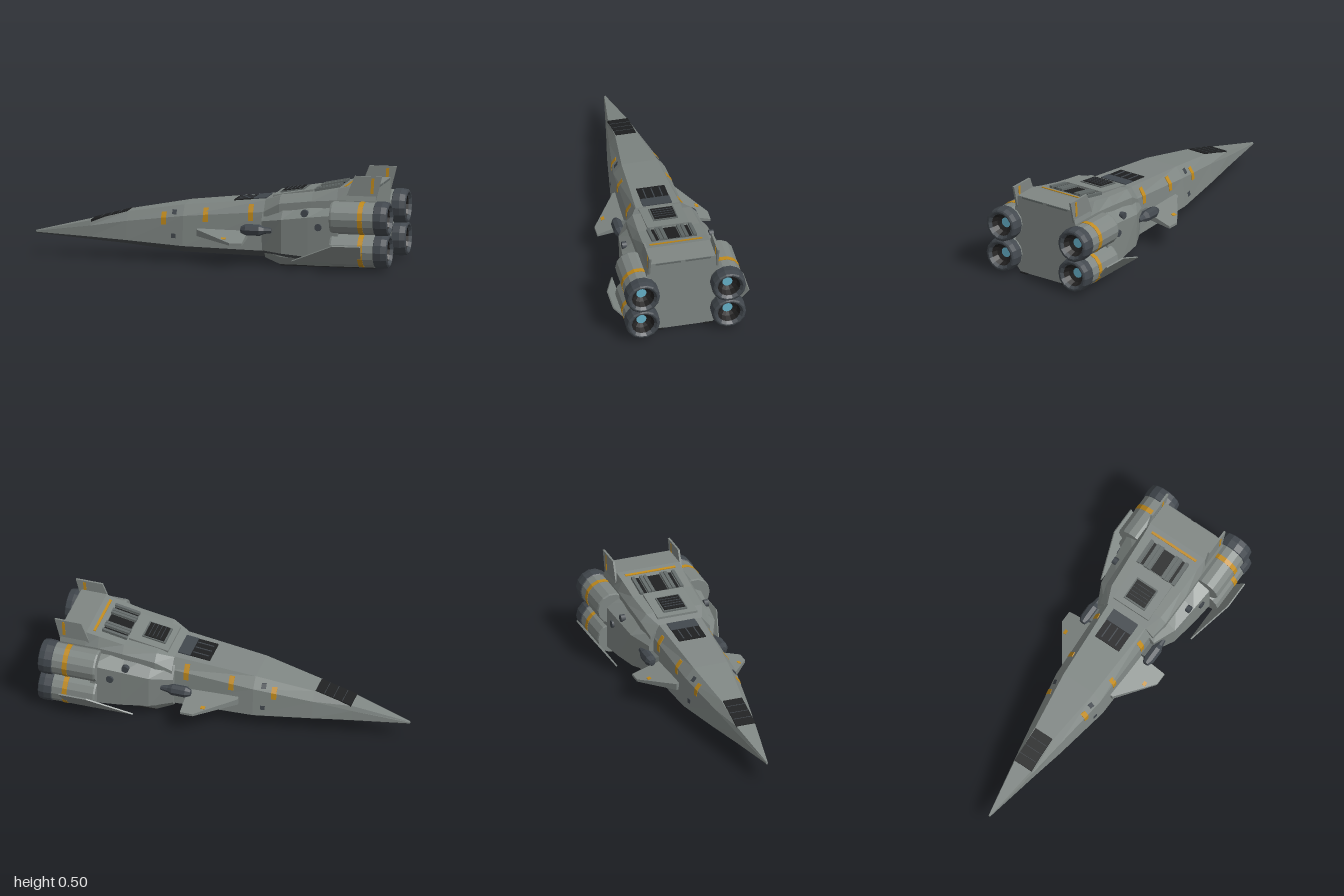
import * as THREE from 'three';
import { ConvexGeometry } from 'three/addons/geometries/ConvexGeometry.js';

const mat = (name, color) => Object.assign(new THREE.MeshStandardMaterial({ color }), { name });

// Main hull stations: x, then half-width/height of keel, chine, shoulder and roof edge
const HULL = [
  [-1, 0.003, 0.108, 0.005, 0.113, 0.005, 0.118, 0.003, 0.122],
  [-0.69, 0.045, 0.09, 0.063, 0.106, 0.06, 0.165, 0.052, 0.193],
  [-0.48, 0.07, 0.078, 0.105, 0.1, 0.094, 0.203, 0.06, 0.251],
  [-0.16, 0.11, 0.05, 0.157, 0.086, 0.143, 0.248, 0.098, 0.305],
  [0.32, 0.12, 0.04, 0.167, 0.076, 0.157, 0.289, 0.122, 0.353],
];
const AFT = [
  [0.29, 0.13, 0.036, 0.165, 0.08, 0.172, 0.29, 0.125, 0.35],
  [0.38, 0.155, 0.005, 0.19, 0.05, 0.195, 0.34, 0.16, 0.38],
  [0.56, 0.16, 0.004, 0.195, 0.045, 0.2, 0.36, 0.17, 0.402],
  [0.70, 0.16, 0.004, 0.195, 0.045, 0.2, 0.37, 0.175, 0.43],
  [0.77, 0.16, 0.004, 0.195, 0.045, 0.2, 0.37, 0.18, 0.446],
  [0.912, 0.16, 0.004, 0.195, 0.045, 0.2, 0.37, 0.18, 0.446],
];
const FAIRING = [
  [0.28, [[0.14, 0.06], [0.17, 0.08], [0.185, 0.24], [0.14, 0.31]]],
  [0.4, [[0.14, 0.03], [0.235, 0.075], [0.242, 0.26], [0.14, 0.355]]],
  [0.55, [[0.14, 0.02], [0.258, 0.066], [0.258, 0.28], [0.14, 0.37]]],
  [0.72, [[0.14, 0.02], [0.275, 0.06], [0.275, 0.3], [0.14, 0.37]]],
];

const pairs = s => [1, 3, 5, 7].map(i => [s[i], s[i + 1]]);
const station = (table, x) => {
  let i = 0;
  while (i < table.length - 2 && x > table[i + 1][0]) i++;
  const t = (x - table[i][0]) / (table[i + 1][0] - table[i][0]);
  return table[i].map((v, k) => v + (table[i + 1][k] - v) * t);
};
// Closed flat-faced loft; each ring is [x, [[z, y], ...]].
// Ring sides listed in belly take the second material.
function loft(rings, belly) {
  const p = [], n = rings[0][1].length, last = rings.length - 1;
  const g = new THREE.BufferGeometry();
  const tri = (...c) => c.forEach(([r, j]) =>
    p.push(rings[r][0], rings[r][1][j % n][1], rings[r][1][j % n][0]));
  for (let j = 0; j < n; j++) {
    const start = p.length / 3;
    for (let r = 0; r < last; r++) {
      tri([r, j], [r + 1, j], [r + 1, j + 1]);
      tri([r, j], [r + 1, j + 1], [r, j + 1]);
    }
    g.addGroup(start, last * 6, belly.includes(j) ? 1 : 0);
  }
  const caps = p.length / 3;
  for (let j = 1; j < n - 1; j++) {
    tri([0, 0], [0, j], [0, j + 1]);
    tri([last, 0], [last, j + 1], [last, j]);
  }
  g.addGroup(caps, p.length / 3 - caps, 0);
  g.setAttribute('position', new THREE.Float32BufferAttribute(p, 3));
  g.computeVertexNormals();
  return g;
}
const fullRing = s => {
  const h = pairs(s);
  return [s[0], [...h, ...h.slice().reverse().map(([z, y]) => [-z, y])]];
};
const convex = corners => new ConvexGeometry(corners.map(c => new THREE.Vector3(...c)));
// Convex slab: corners swept by an offset
const slab = (corners, d) => convex(corners.flatMap(c => [c, c.map((v, i) => v + d[i])]));
// Faceted body of revolution along x from [x, radius] points
function turned(profile, sides) {
  const g = new THREE.LatheGeometry(profile.map(([x, r]) => new THREE.Vector2(r, x)), sides)
    .rotateZ(-Math.PI / 2).toNonIndexed();
  g.computeVertexNormals();
  return g;
}
// Thin band lying over the hull flank between two heights
function band(x0, x1, y0, y1, s) {
  const pts = [];
  for (const x of [x0, x1]) {
    const h = pairs(station(HULL, x)), top = Math.min(y1, h[3][1]);
    for (const y of [y0, h[2][1], top]) {
      if (y < y0 || y > top) continue;
      const i = y > h[2][1] ? 2 : 1;
      const z = h[i][0] + (h[i + 1][0] - h[i][0]) * (y - h[i][1]) / (h[i + 1][1] - h[i][1]);
      pts.push([x, y + 0.001, s * (z + 0.002)], [x, y, s * (z - 0.004)]);
    }
  }
  return convex(pts);
}
// Plate following the roof, raised by h
function roofPlate(table, x0, x1, z0, z1, h) {
  const pts = [];
  for (const x of [x0, x1]) for (const z of [z0, z1])
    pts.push([x, station(table, x)[8] - 0.01, z]);
  return slab(pts, [0, 0.01 + h, 0]);
}

export function createModel() {
  const hull = mat('hull grey', 0x7f8683), panel = mat('panel grey', 0x626968);
  const slate = mat('slate metal', 0x41474d), black = mat('black', 0x1e1f20);
  const belly = mat('dark belly', 0x484c4e);
  const orange = mat('orange paint', 0xc08a1c), glow = mat('blue glow', 0x66b2ca);
  const lining = mat('nozzle lining', 0x1f1e1e);
  lining.side = THREE.DoubleSide;
  const model = new THREE.Group();
  model.name = 'spaceship';
  const add = (name, geo, m, parent = model) => {
    const mesh = new THREE.Mesh(geo, m);
    mesh.name = name;
    parent.add(mesh);
  };

  add('noseHull', loft(HULL.map(fullRing), [0, 6, 7]), [hull, belly]);
  add('aftHull', loft(AFT.map(fullRing), [7]), [hull, belly]);

  // Canopy with thin frames
  add('canopy', roofPlate(HULL, -0.685, -0.485, -0.055, 0.055, 0.004), black);
  for (const x of [-0.635, -0.585, -0.535])
    add('canopyFrame', roofPlate(HULL, x, x + 0.002, -0.053, 0.053, 0.006), slate);

  // Roof equipment ahead of the deck
  add('roofGrille', roofPlate(HULL, 0.105, 0.215, -0.078, 0.078, 0.004), black);
  add('roofMachinery', roofPlate(HULL, 0.215, 0.285, -0.08, 0.08, 0.006), slate);
  for (const z of [-0.045, 0, 0.045])
    add('grilleBar', roofPlate(HULL, 0.12, 0.21, z - 0.003, z + 0.003, 0.007), slate);

  // Raised hatch and vent
  add('hatch', roofPlate(AFT, 0.33, 0.55, -0.115, 0.115, 0.012), hull);
  add('ventFrame', roofPlate(AFT, 0.36, 0.49, -0.068, 0.068, 0.015), panel);
  add('vent', roofPlate(AFT, 0.37, 0.48, -0.06, 0.06, 0.018), black);
  for (let i = 0; i < 4; i++)
    add('ventSlat', roofPlate(AFT, 0.391 + i * 0.022, 0.393 + i * 0.022, -0.055, 0.055, 0.02), slate);

  // Louvre bay: dark centre between grey ribs
  add('louvreBay', roofPlate(AFT, 0.562, 0.698, -0.125, 0.125, 0.003), panel);
  add('louvreSlot', roofPlate(AFT, 0.565, 0.695, -0.034, 0.034, 0.005), black);
  for (const s of [-1, 1]) {
    add('sideSlot', roofPlate(AFT, 0.565, 0.695, s * 0.092 - 0.008, s * 0.092 + 0.008, 0.005), black);
    for (const z of [0.048, 0.07, 0.115])
      add('louvre', roofPlate(AFT, 0.56, 0.7, s * z - 0.009, s * z + 0.009, 0.014), panel);
    add('rearDeckPanel', new THREE.BoxGeometry(0.006, 0.01, 0.14).translate(0.912, 0.44, s * 0.082), panel);
  }
  add('deckStripe', roofPlate(AFT, 0.729, 0.742, -0.145, 0.145, 0.004), orange);

  for (const s of [1, -1]) {
    const side = new THREE.Group();
    side.name = s > 0 ? 'frontFlank' : 'backFlank';
    model.add(side);
    const put = (name, geo, m) => add(name, geo, m, side);

    // Shoulder fairing leading into the engines
    const rings = FAIRING.map(([x, r]) => [x, s > 0 ? r : r.slice().reverse().map(([z, y]) => [-z, y])]);
    put('fairing', loft(rings, [s > 0 ? 0 : 2]), [hull, belly]);
    for (const [x, y, z] of [[0.53, 0.3, 0.24], [0.61, 0.23, 0.262]])
      put('port', new THREE.CylinderGeometry(0.02, 0.02, 0.025, 10).rotateX(Math.PI / 2).translate(x, y, s * z), slate);

    // Painted bands and small sensors on the flank
    for (const [x, y0, y1] of [[-0.285, 0.195, 0.262], [-0.05, 0.22, 0.294], [0.2, 0.235, 0.322]])
      put('paintBand', band(x, x + 0.028, y0, y1, s), orange);
    for (const y of [0.125, 0.252])
      put('sensor', band(-0.225, -0.2, y, y + 0.024, s), slate);

    // Drooped forward wing, thick at the root
    put('forwardWing', convex([
      [-0.08, 0.185, s * 0.15], [-0.08, 0.18, s * 0.166], [0.13, 0.135, s * 0.312], [0.2, 0.135, s * 0.312],
      [0.2, 0.185, s * 0.15], [-0.08, 0.145, s * 0.15], [-0.08, 0.145, s * 0.166],
      [0.13, 0.122, s * 0.312], [0.2, 0.122, s * 0.312], [0.2, 0.145, s * 0.15]]), hull);
    put('wingMark', slab([[0.075, 0.1525, s * 0.25], [0.1, 0.1525, s * 0.25],
      [0.1, 0.147, s * 0.268], [0.075, 0.147, s * 0.268]], [0, 0.004, 0]), orange);

    // Side pod with short barrel
    put('pod', turned([[0.17, 0.001], [0.172, 0.018], [0.2, 0.031], [0.275, 0.031],
      [0.3, 0.02], [0.34, 0.014], [0.342, 0.001]], 8).translate(0, 0.195, s * 0.207), slate);
    put('podMount', new THREE.BoxGeometry(0.08, 0.025, 0.07).translate(0.24, 0.195, s * 0.17), panel);

    // Upright tail fin with stripe
    put('tailFin', slab([[0.74, 0.37, s * 0.182], [0.76, 0.41, s * 0.182], [0.795, 0.505, s * 0.182],
      [0.945, 0.505, s * 0.182], [0.91, 0.37, s * 0.182]], [0, 0, s * 0.011]), hull);
    put('finStripe', slab([[0.882, 0.41, s * 0.181], [0.898, 0.41, s * 0.181], [0.904, 0.495, s * 0.181],
      [0.888, 0.495, s * 0.181]], [0, 0, s * 0.0132]), orange);

    // Small upswept rear wing
    put('rearWing', slab([[0.47, 0.05, s * 0.292], [0.71, 0.15, s * 0.37],
      [0.865, 0.15, s * 0.37], [0.85, 0.05, s * 0.292]], [0, -0.005, s * 0.006]), hull);

    // Landing skid
    put('skid', new THREE.BoxGeometry(0.54, 0.006, 0.05).translate(0.65, 0.003, s * 0.135), black);

    // Twin stacked engines
    for (const y of [0.283, 0.108]) {
      const engine = new THREE.Group();
      engine.name = y > 0.2 ? 'upperEngine' : 'lowerEngine';
      engine.position.set(0, y, s * 0.237);
      side.add(engine);
      const part = (name, profile, m) => add(name, turned(profile, 14), m, engine);
      part('casing', [[0.68, 0.001], [0.68, 0.084], [0.69, 0.088], [0.925, 0.088]], hull);
      part('engineStripe', [[0.836, 0.087], [0.836, 0.09], [0.863, 0.09], [0.863, 0.087]], orange);
      part('nozzle', [[0.92, 0.085], [0.925, 0.093], [0.965, 0.095], [0.995, 0.09], [1, 0.082],
        [1, 0.075], [0.985, 0.062]], slate);
      part('nozzleLining', [[0.985, 0.064], [0.95, 0.052], [0.935, 0.024]], lining);
      add('burner', new THREE.CircleGeometry(0.028, 14).rotateY(Math.PI / 2).translate(0.942, 0, 0), glow, engine);
    }
  }
  return model;
}
